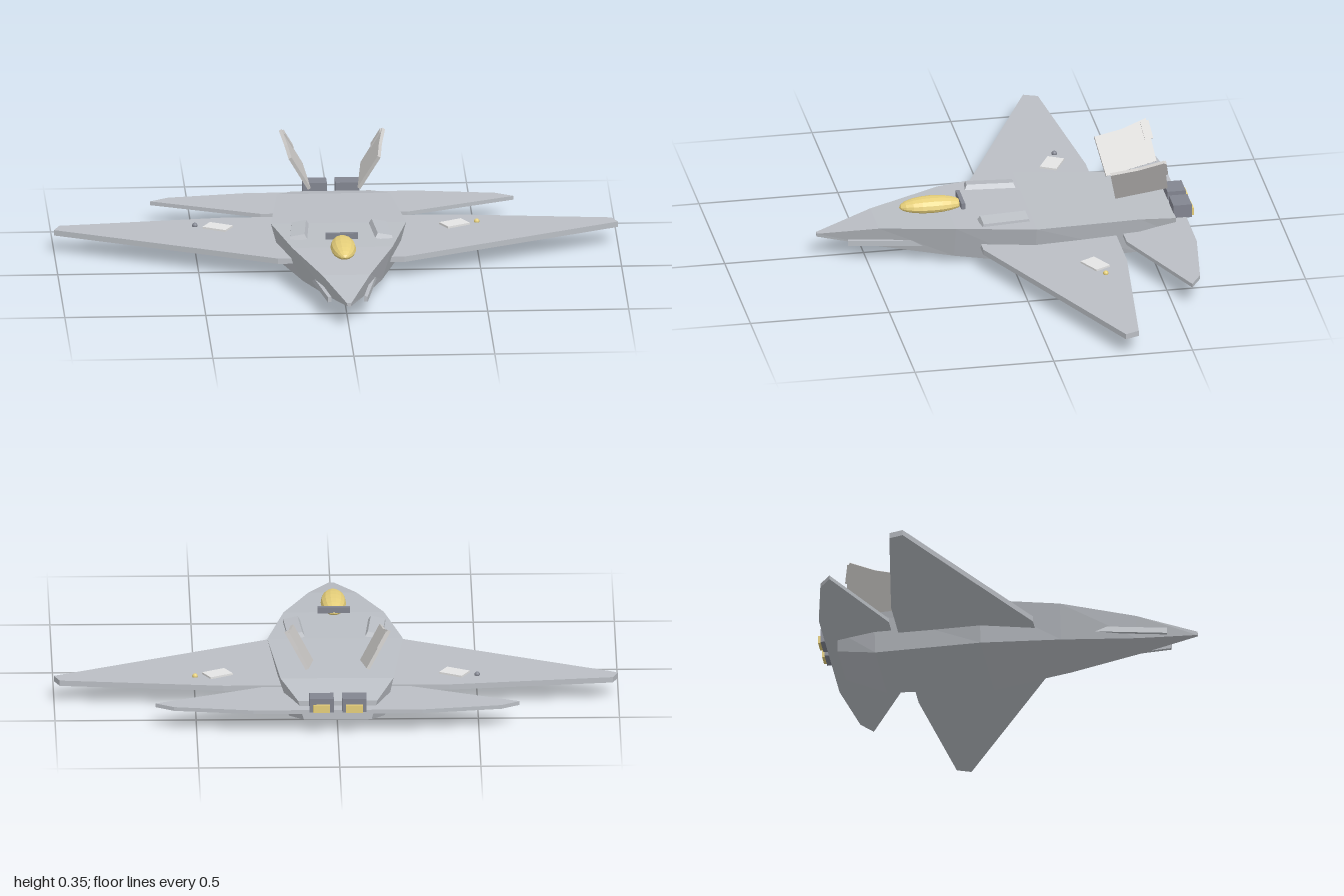
import * as THREE from 'three';

const mat = (name, color) => {
  const m = new THREE.MeshStandardMaterial({ color });
  m.name = name;
  return m;
};

// Closed, hard-edged solid through convex rings that have equal point counts.
function loft(rings) {
  const tris = [], n = rings[0].length;
  for (let r = 0; r + 1 < rings.length; r++) {
    const a = rings[r], b = rings[r + 1];
    for (let i = 0; i < n; i++) {
      const j = (i + 1) % n;
      tris.push([a[i], a[j], b[j]], [a[i], b[j], b[i]]);
    }
  }
  const last = rings[rings.length - 1];
  for (let i = 1; i + 1 < n; i++) {
    tris.push([rings[0][0], rings[0][i + 1], rings[0][i]], [last[0], last[i], last[i + 1]]);
  }
  // Turn every face outwards, whichever way the rings run.
  let volume = 0;
  for (const [a, b, c] of tris) {
    volume += new THREE.Vector3(...a).dot(new THREE.Vector3(...b).cross(new THREE.Vector3(...c)));
  }
  if (volume < 0) tris.forEach((t) => t.reverse());
  const g = new THREE.BufferGeometry();
  g.setAttribute('position', new THREE.Float32BufferAttribute(tris.flat(2), 3));
  g.computeVertexNormals();
  return g;
}

// Faceted ellipsoid with a flatter underside
function canopyGeometry() {
  const g = new THREE.SphereGeometry(1, 14, 10).rotateX(Math.PI / 2).toNonIndexed();
  const p = g.attributes.position;
  for (let i = 0; i < p.count; i++) {
    const y = p.getY(i);
    p.setXYZ(i, p.getX(i) * 0.045, y * (y > 0 ? 0.033 : 0.023), p.getZ(i) * 0.115);
  }
  g.computeVertexNormals();
  return g;
}

export function createModel() {
  const group = new THREE.Group();
  const hull = mat('hullGrey', 0xbabec4);
  const finGrey = mat('finGrey', 0xcccac8);
  const pale = mat('paleGrey', 0xe4e4e4);
  const dark = mat('darkGrey', 0x828590);
  const gold = mat('gold', 0xe6cf7a);

  const add = (name, geometry, material, pos = [0, 0, 0], rot = [0, 0, 0]) => {
    const mesh = new THREE.Mesh(geometry, material);
    mesh.name = name;
    mesh.position.set(...pos);
    mesh.rotation.set(...rot);
    group.add(mesh);
  };
  const box = (...size) => new THREE.BoxGeometry(...size);

  // Fuselage: z, top half width, bottom half width, top y, bottom y
  const sections = [
    [0.67, 0.008, 0.006, 0.092, 0.08],
    [0.46, 0.085, 0.065, 0.13, 0.052],
    [0.2, 0.178, 0.14, 0.15, 0.027],
    [-0.08, 0.24, 0.2, 0.152, 0.003],
    [-0.46, 0.2, 0.17, 0.14, 0],
    [-0.6, 0.14, 0.12, 0.105, 0.035],
  ];
  add('fuselage', loft(sections.map(([z, wt, wb, t, b]) =>
    [[-wt, t, z], [wt, t, z], [wb, b, z], [-wb, b, z]])), hull);

  // Canopy and the bar behind it
  add('canopy', canopyGeometry(), gold, [0, 0.165, 0.257]);
  add('canopyBar', box(0.115, 0.022, 0.014), dark, [0, 0.177, 0.151]);

  const plate = (outline, s, y0, y1) =>
    loft([y0, y1].map((y) => outline.map(([x, z]) => [s * x, y, z])));
  const wing = [[0.1, 0.11], [0.225, 0.11], [1, -0.26], [0.98, -0.31], [0.4, -0.375], [0.1, -0.375]];
  const tail = [[0, -0.4], [0.26, -0.4], [0.645, -0.565], [0.58, -0.605], [0.3, -0.645], [0, -0.645]];

  // Canted flat slabs: outline in y and z, from depth k0 to k1 along the outward normal
  const fin = [[0.18, -0.39], [0.215, -0.575], [0.35, -0.55], [0.322, -0.46], [0.305, -0.36]];
  const rudder = [[0.28, -0.54], [0.286, -0.57], [0.344, -0.558], [0.338, -0.528]];
  const canted = (outline, s, k0, k1) => loft([k0, k1].map((k) => outline.map(([y, z]) =>
    [s * (0.088 + 0.56 * (y - 0.18) + k * 0.87), y - k * 0.49, z])));

  for (const s of [1, -1]) {
    const side = s > 0 ? 'left' : 'right';
    add(side + 'Wing', plate(wing, s, 0.063, 0.083), hull);
    add(side + 'Tailplane', plate(tail, s, 0.073, 0.087), hull);
    add(side + 'Fin', canted(fin, s, -0.006, 0.006), finGrey);
    add(side + 'Rudder', canted(rudder, s, -0.01, 0.004), finGrey);

    // Shoulder fairing with a narrower top
    const fairing = [[0, 0.032, 0.09], [0.018, 0.026, 0.083]].map(([y, w, l]) =>
      [[-w, y, -l], [w, y, -l], [w, y, l], [-w, y, l]]);
    add(side + 'ShoulderFairing', loft(fairing), hull, [s * 0.145, 0.148, 0.02], [0, s * 0.08, -s * 0.2]);

    // Strake beside the nose
    add(side + 'NoseStrake', box(0.013, 0.02, 0.29), hull, [s * 0.089, 0.074, 0.425], [0, -s * 0.17, 0]);

    // Wing panel and marker light
    add(side + 'WingPanel', box(0.09, 0.008, 0.062), pale, [s * 0.42, 0.086, -0.257], [0, s * 0.5, 0]);
    add(side + 'WingLight', new THREE.SphereGeometry(0.01, 10, 8), s > 0 ? gold : dark, [s * 0.5, 0.086, -0.28]);

    // Engine nozzle and its glow
    add(side + 'Nozzle', box(0.086, 0.05, 0.066), dark, [s * 0.058, 0.11, -0.631]);
    add(side + 'NozzleGlow', box(0.06, 0.028, 0.012), gold, [s * 0.058, 0.1, -0.668]);
  }
  return group;
}
